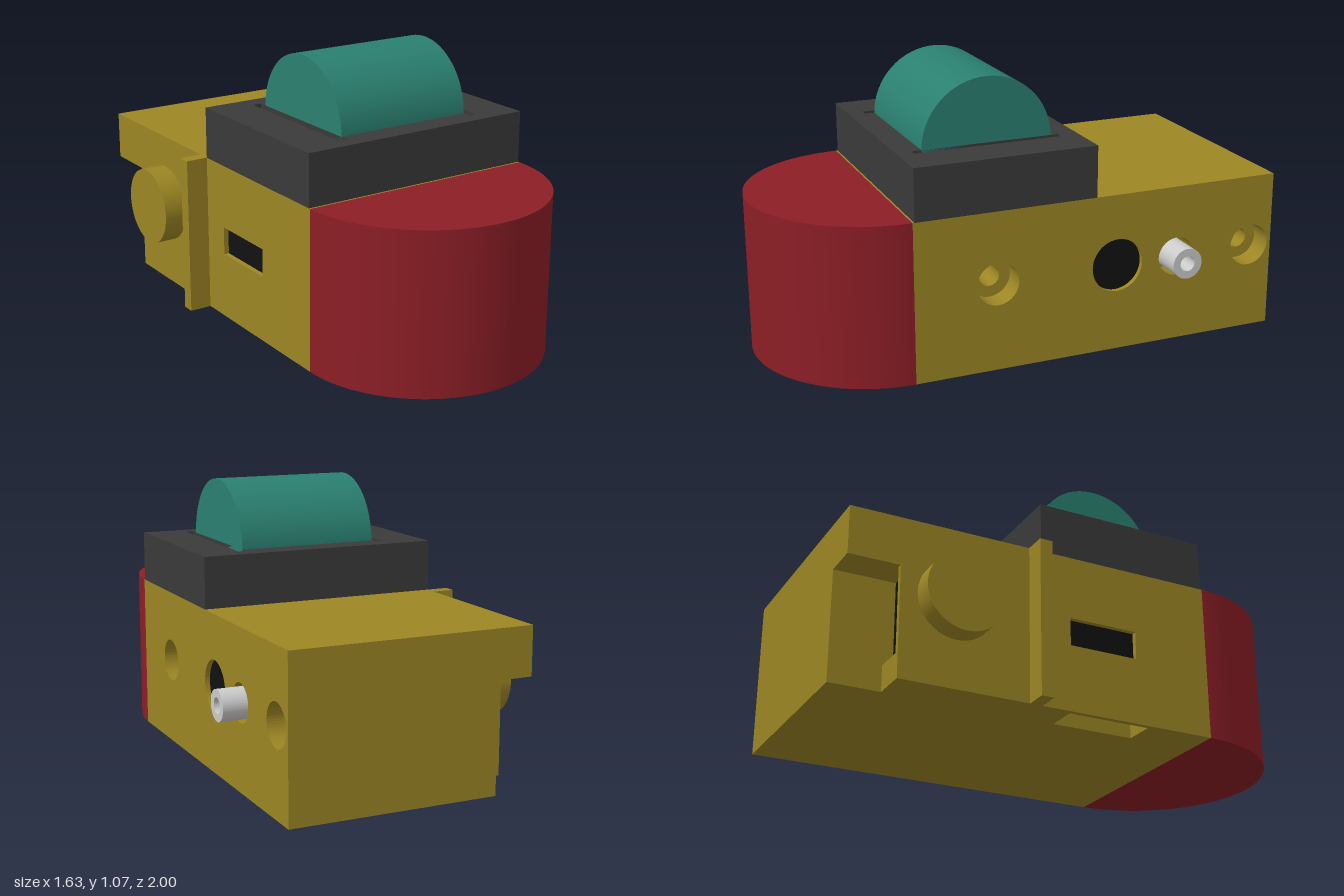
import * as THREE from 'three';

const paint = (color) => new THREE.MeshStandardMaterial({ color });

export function createModel() {
  const yellow = paint(0x9c8624), red = paint(0x8c1e26), green = paint(0x2a8070);
  const dark = paint(0x3a3a3a), black = paint(0x111111), grey = paint(0xcccccc);

  // the whole device is turned 30 degrees about the vertical
  const root = new THREE.Group();
  const device = new THREE.Group();
  device.name = 'device';
  device.rotation.y = Math.PI / 6;
  root.add(device);

  const add = (name, geometry, material) => {
    const mesh = new THREE.Mesh(geometry, material);
    mesh.name = name;
    device.add(mesh);
    return mesh;
  };
  const box = (name, x0, x1, y0, y1, z0, z1, material) =>
    add(name, new THREE.BoxGeometry(x1 - x0, y1 - y0, z1 - z0)
      .translate((x0 + x1) / 2, (y0 + y1) / 2, (z0 + z1) / 2), material);
  // cylinder lying along x
  const rod = (name, r, x0, x1, y, z, material) =>
    add(name, new THREE.CylinderGeometry(r, r, x1 - x0, 64)
      .rotateZ(Math.PI / 2).translate((x0 + x1) / 2, y, z), material);
  const polygon = (points) => new THREE.Shape(points.map(([a, b]) => new THREE.Vector2(a, b)));
  const rectPath = (a0, a1, b0, b1) =>
    new THREE.Path([[a0, b0], [a0, b1], [a1, b1], [a1, b0]].map(([a, b]) => new THREE.Vector2(a, b)));
  const circlePath = (a, b, r) => new THREE.Path().absarc(a, b, r, 0, Math.PI * 2, true);
  // slab of the body: profile in (z, y), from x0 to x1
  const slab = (name, shape, x0, x1, holes = []) => {
    shape.holes.push(...holes);
    const g = new THREE.ExtrudeGeometry(shape, { depth: x1 - x0, bevelEnabled: false, curveSegments: 24 });
    return add(name, g.rotateY(-Math.PI / 2).translate(x1, 0, 0), yellow);
  };

  const L = -0.45, R = 0.51, back = -0.86, front = 0.617, H = 0.62, axisY = 0.34;
  const side = () => polygon([[back, 0], [front, 0], [front, H], [back, H]]);
  const screwZ = [0.295, -0.762], portZ = -0.19, shaftZ = -0.44;

  // body side with counterbored screw holes, port and shaft hole
  slab('boltedSide', side(), 0.42, R, [
    ...screwZ.map((z) => circlePath(z, axisY, 0.083)),
    circlePath(portZ, axisY, 0.104), circlePath(shaftZ, axisY, 0.075)]);
  slab('boltedSideInner', side(), 0.28, 0.42, screwZ.map((z) => circlePath(z, axisY, 0.04)));
  box('bodyCore', -0.31, 0.28, 0, H, back, front, yellow);
  rod('portPlug', 0.104, 0.42, 0.49, axisY, portZ, black);

  // opposite side: corner notch, cavity, bottom pocket and window
  slab('notchedSideInner', polygon([
    [back, 0.43], [-0.58, 0.43], [-0.58, 0.1], [-0.66, 0.1], [-0.66, 0], [0.02, 0], [0.02, 0.42],
    [0.35, 0.42], [0.35, 0], [front, 0], [front, H], [back, H]]), -0.43, -0.31);
  slab('notchedSideOuter', polygon([
    [back, 0.43], [-0.66, 0.43], [-0.66, 0], [front, 0], [front, H], [back, H]]), L, -0.43,
  [rectPath(0.02, 0.3, 0.26, 0.37)]);
  box('notchInterior', -0.43, -0.305, 0.1, 0.43, -0.62, -0.58, black);
  box('windowInterior', -0.43, -0.31, 0.22, 0.42, 0.02, 0.35, black);
  box('sideRib', -0.537, L, 0, H, -0.15, -0.1, yellow);

  // adjusting knob and the hollow shaft on its axis
  rod('knob', 0.153, -0.538, L, axisY, shaftZ, yellow);
  const tube = new THREE.Shape().absarc(0, 0, 0.06, 0, Math.PI * 2, false);
  tube.holes.push(circlePath(0, 0, 0.03));
  add('shaft', new THREE.ExtrudeGeometry(tube, { depth: 0.18, bevelEnabled: false, curveSegments: 24 })
    .rotateY(Math.PI / 2).translate(0.42, axisY, shaftZ), grey);

  // rounded nose
  add('nose', new THREE.CylinderGeometry(0.48, 0.48, H, 96, 1, false, -Math.PI / 2, Math.PI)
    .translate(0.03, H / 2, front), red);

  // roller housing: floor plus a slotted upper part
  const z0 = -0.1, z1 = 0.61;
  box('housingFloor', L, R, H, 0.66, z0, z1, dark);
  const frame = polygon([[L, -z1], [R, -z1], [R, -z0], [L, -z0]]);
  for (const [a, b] of [[-0.28, -0.245], [0.315, 0.345]]) frame.holes.push(rectPath(a, b, -0.55, 0.03));
  add('rollerHousing', new THREE.ExtrudeGeometry(frame, { depth: 0.16, bevelEnabled: false })
    .rotateX(-Math.PI / 2).translate(0, 0.66, 0), dark);
  rod('roller', 0.255, -0.245, 0.315, 0.815, 0.257, green);

  return root;
}
